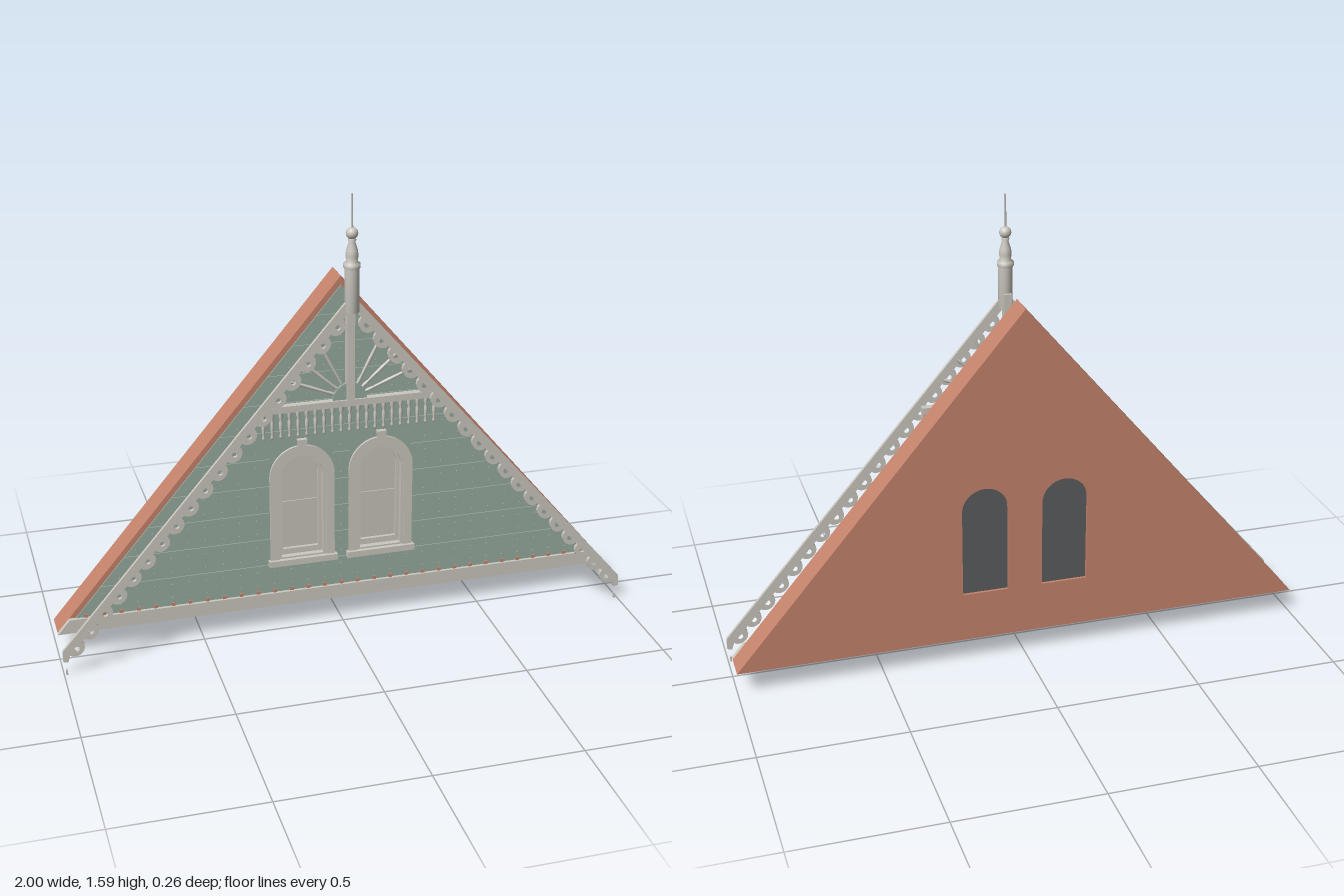
import * as THREE from 'three';
import { mergeGeometries } from 'three/addons/utils/BufferGeometryUtils.js';

const mat = (name, color) => Object.assign(new THREE.MeshStandardMaterial({ color }), { name });

export function createModel() {
  const root = new THREE.Group();
  root.name = 'gable';
  const brick = mat('terracotta', 0xc6846c);
  const green = mat('sage green', 0x98ac9f);
  const cream = mat('cream paint', 0xccc8c0);
  const blind = mat('blind', 0xc8c3bc);
  const dark = mat('dark glass', 0x5c5d5f);

  const add = (name, geo, material, parent = root) => {
    const m = new THREE.Mesh(geo, material);
    m.name = name;
    parent.add(m);
    return m;
  };
  const box = (x0, x1, y0, y1, z0, z1) =>
    new THREE.BoxGeometry(x1 - x0, y1 - y0, z1 - z0).translate((x0 + x1) / 2, (y0 + y1) / 2, (z0 + z1) / 2);
  const slab = (shape, z0, z1) =>
    new THREE.ExtrudeGeometry(shape, { depth: z1 - z0, bevelEnabled: false, curveSegments: 20 }).translate(0, 0, z0);
  const poly = pts => new THREE.Shape(pts.map(p => new THREE.Vector2(...p)));
  const lathe = pts => new THREE.LatheGeometry(pts.map(p => new THREE.Vector2(...p)), 20);

  // Round-headed window outline
  const WX = 0.14, SPRING = 0.57;
  const arch = (half, bottom, cx = 0, Type = THREE.Shape) => {
    const s = new Type();
    s.moveTo(cx - half, bottom);
    s.lineTo(cx + half, bottom);
    s.lineTo(cx + half, SPRING);
    s.absarc(cx, SPRING, half, 0, Math.PI, false);
    s.closePath();
    return s;
  };
  const ring = (outer, inner, b0, b1) => {
    const s = arch(outer, b0);
    s.holes.push(arch(inner, b1, 0, THREE.Path));
    return s;
  };
  const pierced = (pts, half) => {
    const s = poly(pts);
    for (const x of [-WX, WX]) s.holes.push(arch(half, 0.26, x, THREE.Path));
    return s;
  };

  // Wall and siding
  add('wall', slab(pierced([[-1, 0.085], [1, 0.085], [0, 1.27]], 0.08), -0.13, -0.03), brick);
  add('siding', slab(pierced([[-0.935, 0.135], [0.935, 0.135], [0, 1.24]], 0.082), -0.03, -0.025), green);
  add('baseBand', slab(poly([[-1, 0.085], [1, 0.085], [0.958, 0.135], [-0.958, 0.135]]), -0.031, -0.014), cream);

  // Lapped board edges and nail heads, interrupted at the windows
  const halfAt = y => 0.935 * (1.24 - y) / 1.105;
  const laps = [], nails = [];
  for (let y = 0.235; y < 1.2; y += 0.1) {
    const h = halfAt(y + 0.008);
    const spans = y > 0.25 && y < 0.67 ? [[-h, -0.25], [-0.03, 0.03], [0.25, h]] : [[-h, h]];
    for (const [a, b] of spans) laps.push(box(a, b, y, y + 0.008, -0.026, -0.021));
  }
  for (let y = 0.165, row = 0; y < 1.17; y += 0.05, row++) {
    const n = Math.floor((halfAt(y) - 0.02) / 0.06);
    for (let i = -n; i <= n; i++) {
      const x = i * 0.06;
      if (y > 0.23 && y < 0.7 && Math.abs(Math.abs(x) - WX) < 0.12) continue;
      nails.push(new THREE.CylinderGeometry(0.004, 0.004, 0.006, 6).rotateX(Math.PI / 2).translate(x, y, -0.023));
    }
  }
  add('boardEdges', mergeGeometries(laps), green);
  add('nailHeads', mergeGeometries(nails), green);
  const pegs = [];
  for (let i = -15; i <= 15; i++) pegs.push(box(i * 0.06 - 0.006, i * 0.06 + 0.006, 0.135, 0.147, -0.026, -0.02));
  add('basePegs', mergeGeometries(pegs), brick);

  // Windows
  for (const x of [-WX, WX]) {
    const w = new THREE.Group();
    w.name = x > 0 ? 'leftWindow' : 'rightWindow';
    w.position.x = x;
    root.add(w);
    add('surround', slab(ring(0.114, 0.084, 0.25, 0.262), -0.03, -0.016), cream, w);
    add('moulding', slab(ring(0.086, 0.074, 0.26, 0.268), -0.04, -0.02), cream, w);
    add('sash', slab(ring(0.08, 0.064, 0.26, 0.285), -0.065, -0.048), cream, w);
    add('pane', slab(arch(0.079, 0.261), -0.068, -0.06), blind, w);
    add('meetingRail', box(-0.065, 0.065, 0.455, 0.463, -0.061, -0.056), blind, w);
    add('backGlass', slab(arch(0.079, 0.261), -0.122, -0.115), dark, w);
    add('sill', box(-0.122, 0.122, 0.24, 0.262, -0.03, -0.005), cream, w);
    add('keystone', slab(poly([[-0.012, 0.665], [0.012, 0.665], [0.017, 0.708], [-0.017, 0.708]]), -0.03, -0.008), cream, w);
  }

  // Scalloped bargeboards: u runs down the slope, v inward across the board
  const L = Math.hypot(1, 1.16), dx = 1 / L, dy = 1.16 / L;
  for (const s of [-1, 1]) {
    const at = (u, v) => [s * (u * dx - v * dy), 1.25 - u * dy - v * dx];
    const pts = [at(0, 0), at(L, 0), at(L + 0.03, 0.025), at(L + 0.022, 0.04)];
    const holes = [], count = 19, step = (L - 0.07) / count, r = 0.032;
    for (let i = count - 1; i >= 0; i--) {
      const uc = 0.075 + step * (i + 0.5);
      for (let k = 0; k <= 8; k++) {
        const a = Math.PI * k / 8;
        pts.push(at(uc + r * Math.cos(a), 0.03 + 0.028 * Math.sin(a)));
      }
      const [hx, hy] = at(uc, 0.034);
      holes.push(new THREE.Path().absarc(hx, hy, 0.009, 0, Math.PI * 2, true));
    }
    pts.push(at(0.03 * dy / dx, 0.03));
    const shape = poly(pts);
    shape.holes = holes;
    const name = s > 0 ? 'left' : 'right';
    add(name + 'Bargeboard', slab(shape, 0.098, 0.11), cream);
    add(name + 'Drip', box(s * 0.99 - 0.003, s * 0.99 + 0.003, 0, 0.018, 0.099, 0.109), cream);
  }

  // Finial
  const finial = lathe([[0, 1.19], [0.024, 1.19], [0.024, 1.335], [0.028, 1.342], [0.028, 1.355], [0.018, 1.362],
    [0.021, 1.38], [0.019, 1.4], [0.011, 1.425], [0.014, 1.434], [0.009, 1.44], [0, 1.44]]);
  add('finialPost', finial, cream).position.z = 0.103;
  add('finialBall', new THREE.SphereGeometry(0.02, 20, 14), cream).position.set(0, 1.455, 0.103);
  add('finialSpike', new THREE.CylinderGeometry(0.003, 0.004, 0.12, 10), cream).position.set(0, 1.525, 0.103);

  // King post, cross rail and sunburst
  add('kingPost', box(-0.013, 0.013, 0.87, 1.25, 0.07, 0.098), cream);
  add('crossRail', box(-0.3, 0.3, 0.855, 0.878, 0.067, 0.092), cream);
  const hub = new THREE.Shape().absarc(0, 0.878, 0.058, 0, Math.PI, false);
  add('sunburstHub', slab(hub, 0.074, 0.086), green);
  for (const [deg, len] of [[22, 0.24], [42, 0.235], [63, 0.255]]) {
    for (const s of [-1, 1]) {
      const a = deg * Math.PI / 180, mid = (0.05 + len) / 2;
      const spoke = add('sunburstSpoke', lathe([[0.003, -0.5], [0.006, -0.4], [0.004, -0.3], [0.006, 0], [0.004, 0.35], [0.006, 0.42], [0.004, 0.5]]
        .map(([r, y]) => [r, y * (len - 0.05)])), cream);
      spoke.position.set(s * Math.cos(a) * mid, 0.878 + Math.sin(a) * mid, 0.08);
      spoke.rotation.z = s * (a - Math.PI / 2);
    }
  }

  // Hanging spindles
  const spindle = lathe([[0, 0.76], [0.004, 0.762], [0.006, 0.77], [0.003, 0.779], [0.006, 0.8], [0.006, 0.82],
    [0.003, 0.83], [0.007, 0.838], [0.007, 0.856]]);
  for (let i = -10; i <= 10; i++) add('spindle', spindle, cream).position.set(i * 0.0295, 0, 0.08);

  return root;
}
